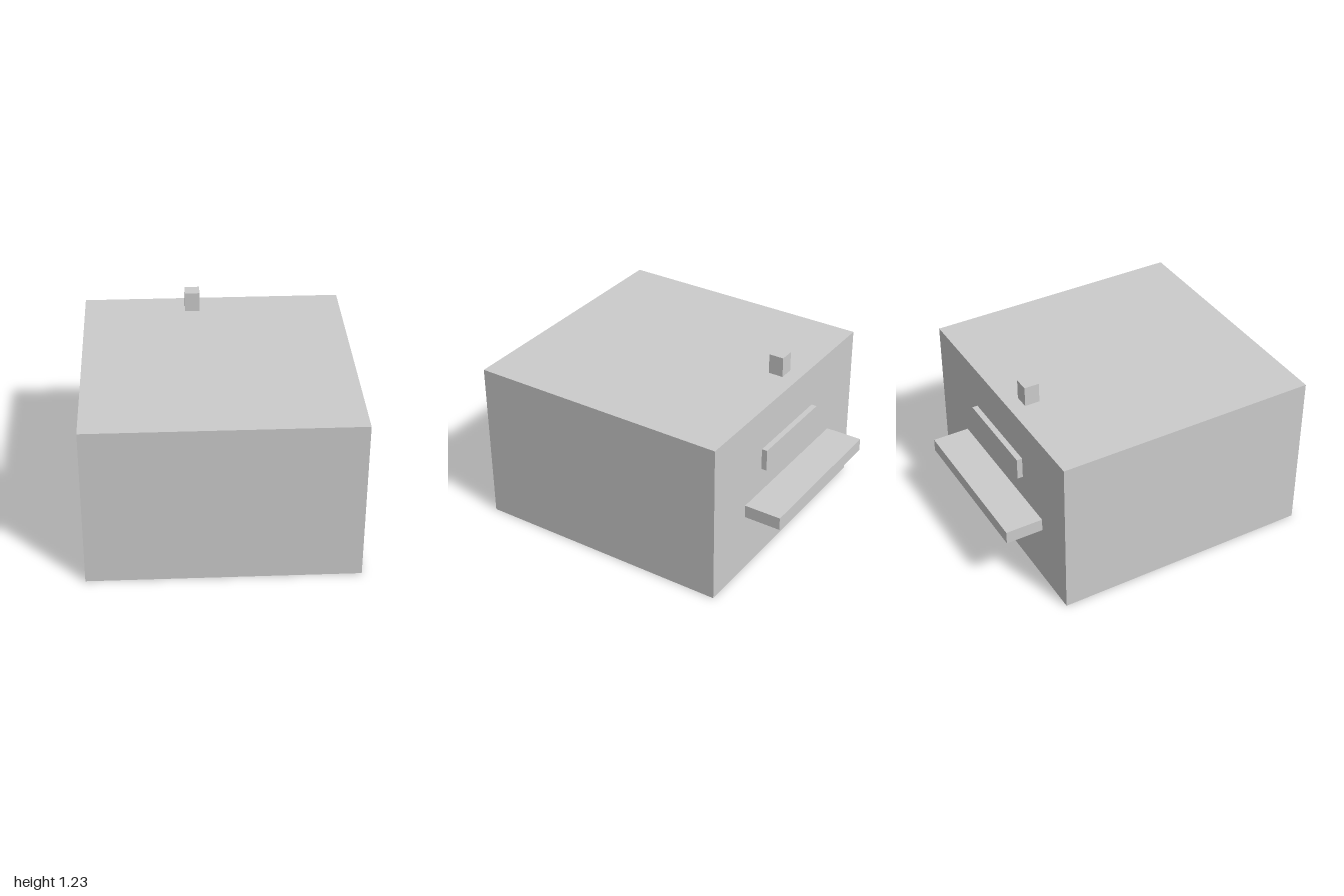
import * as THREE from 'three';

const material = new THREE.MeshStandardMaterial({ color: 0xcccccc });

// Box given by its [min, max] extent on each axis
function block(name, [x0, x1], [y0, y1], [z0, z1]) {
  const mesh = new THREE.Mesh(new THREE.BoxGeometry(x1 - x0, y1 - y0, z1 - z0), material);
  mesh.position.set((x0 + x1) / 2, (y0 + y1) / 2, (z0 + z1) / 2);
  mesh.name = name;
  return mesh;
}

export function createModel() {
  const group = new THREE.Group();
  group.name = 'building';
  group.add(
    block('body', [-0.875, 0.875], [0, 1.095], [-0.75, 1]),
    // Small stack on the roof near the back edge
    block('chimney', [-0.19, -0.09], [1.095, 1.23], [-0.65, -0.55]),
    // Thin panel and projecting ledge on the back wall
    block('wallPanel', [-0.32, 0.32], [0.66, 0.807], [-0.787, -0.75]),
    block('ledge', [-0.57, 0.51], [0.403, 0.49], [-1, -0.75]),
  );
  return group;
}
